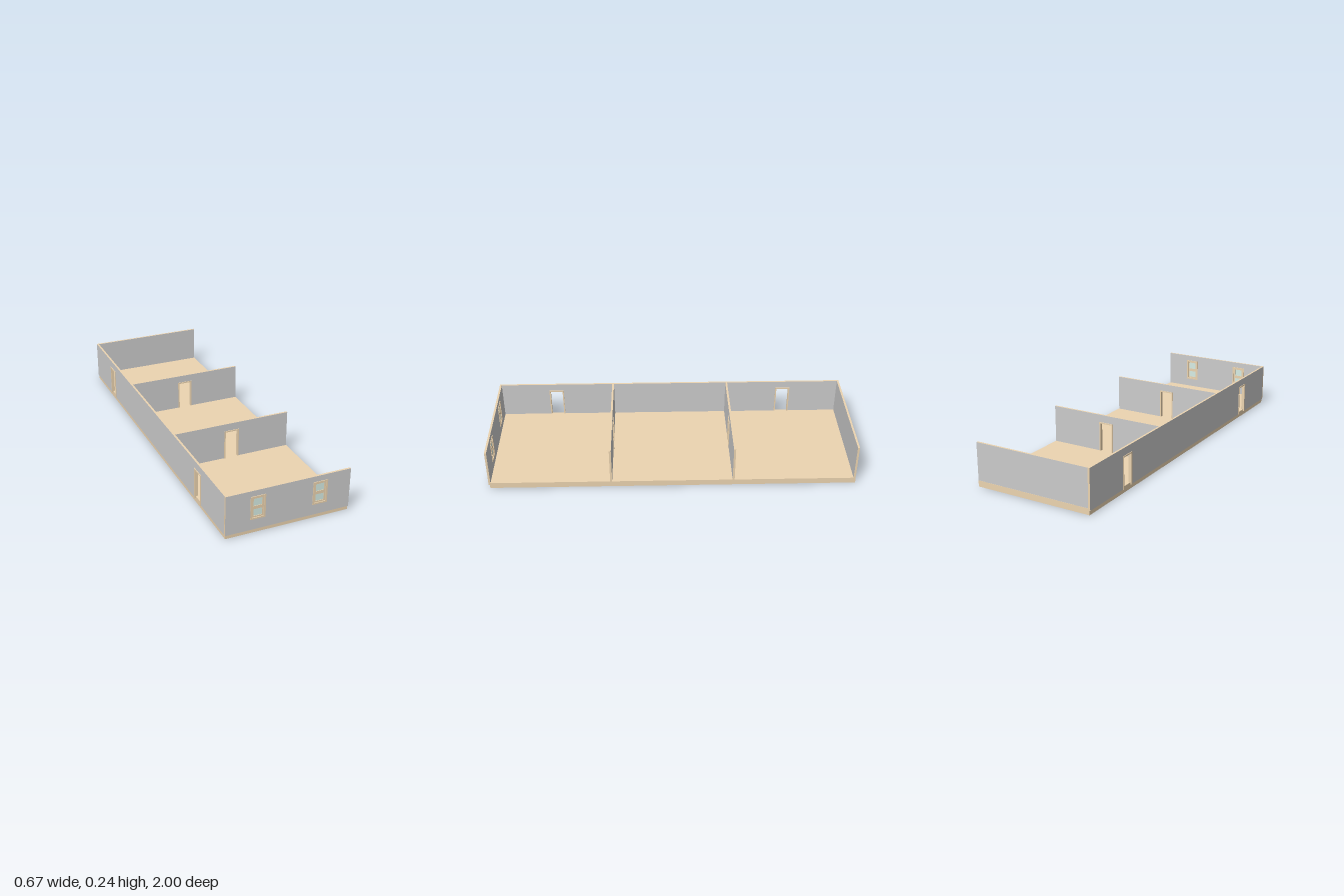
import * as THREE from 'three';

const grey = new THREE.MeshStandardMaterial({ color: 0xcccccc });
const tan = new THREE.MeshStandardMaterial({ color: 0xecd4b0 });
const glass = new THREE.MeshStandardMaterial({ color: 0xd6ede5 });

const FLOOR = 0.033, SILL = 0.022, TOP = 0.237, THICK = 0.011, DOOR_TOP = 0.19;

function rect(Type, x0, x1, y0, y1) {
  const r = new Type();
  r.moveTo(x0, y0);
  r.lineTo(x1, y0);
  r.lineTo(x1, y1);
  r.lineTo(x0, y1);
  r.closePath();
  return r;
}

// Upright panel with rectangular holes, centred on its own z = 0
function panel(name, outline, holes, depth, material) {
  const shape = rect(THREE.Shape, ...outline);
  holes.forEach(h => shape.holes.push(rect(THREE.Path, ...h)));
  const geo = new THREE.ExtrudeGeometry(shape, { depth, bevelEnabled: false });
  geo.translate(0, 0, -depth / 2);
  const mesh = new THREE.Mesh(geo, material);
  mesh.name = name;
  return mesh;
}

// Wall with full-height door gaps, each lined by a three-sided frame
function doorWall(name, x0, x1, bottom, doors) {
  const g = new THREE.Group();
  g.name = name;
  const half = 0.036, trim = 0.006;
  const shape = new THREE.Shape();
  shape.moveTo(x0, bottom);
  doors.forEach(c => {
    shape.lineTo(c - half, bottom);
    shape.lineTo(c - half, DOOR_TOP);
    shape.lineTo(c + half, DOOR_TOP);
    shape.lineTo(c + half, bottom);
  });
  shape.lineTo(x1, bottom);
  shape.lineTo(x1, TOP);
  shape.lineTo(x0, TOP);
  shape.closePath();
  const geo = new THREE.ExtrudeGeometry(shape, { depth: THICK, bevelEnabled: false });
  geo.translate(0, 0, -THICK / 2);
  const wall = new THREE.Mesh(geo, [grey, tan]);
  wall.name = name + 'Panel';
  g.add(wall);

  doors.forEach(c => {
    const o = half + trim, i = half - 0.001;
    const f = new THREE.Shape([
      [c - o, bottom], [c - i, bottom], [c - i, DOOR_TOP - 0.001], [c + i, DOOR_TOP - 0.001],
      [c + i, bottom], [c + o, bottom], [c + o, DOOR_TOP + trim], [c - o, DOOR_TOP + trim],
    ].map(p => new THREE.Vector2(...p)));
    const d = THICK + 0.007;
    const frame = new THREE.Mesh(new THREE.ExtrudeGeometry(f, { depth: d, bevelEnabled: false }), tan);
    frame.position.z = -d / 2;
    frame.name = 'doorFrame';
    g.add(frame);
  });
  return g;
}

// Two-pane sash window with a raised outer frame
function makeWindow(cx) {
  const g = new THREE.Group();
  g.name = 'window';
  const [y0, y1, w] = [0.08, 0.206, 0.0395];
  g.add(panel('windowFrame', [-w, w, y0, y1],
    [[-w + 0.009, w - 0.009, y0 + 0.008, y1 - 0.007]], THICK + 0.007, tan));
  g.add(panel('windowSash', [-w + 0.009, w - 0.009, y0 + 0.008, y1 - 0.007],
    [[-0.023, 0.023, 0.096, 0.134], [-0.023, 0.023, 0.151, 0.191]], 0.009, tan));
  for (const y of [0.115, 0.171]) {
    const pane = new THREE.Mesh(new THREE.BoxGeometry(0.048, 0.042, 0.003), glass);
    pane.position.y = y;
    pane.name = 'windowPane';
    g.add(pane);
  }
  g.position.x = cx;
  return g;
}

export function createModel() {
  const model = new THREE.Group();
  model.name = 'openHouse';

  // Floor slab
  const floor = new THREE.Mesh(new THREE.BoxGeometry(0.664, FLOOR, 1.99), tan);
  floor.position.set(0.002, FLOOR / 2, -0.005);
  floor.name = 'floorSlab';
  model.add(floor);

  // Front wall with two windows
  const front = new THREE.Group();
  front.name = 'frontWall';
  const centres = [-0.164, 0.169];
  front.add(panel('frontWallPanel', [-0.333, 0.335, SILL, TOP],
    centres.map(c => [c - 0.038, c + 0.038, 0.082, 0.204]), THICK, [grey, tan]));
  centres.forEach(c => front.add(makeWindow(c)));
  front.position.z = 0.991;
  model.add(front);

  // Plain back wall standing on the slab
  const back = panel('backWall', [-0.323, 0.334, FLOOR, TOP], [], THICK, [grey, tan]);
  back.position.z = -0.9935;
  model.add(back);

  // Long side wall with two outside doors
  const side = doorWall('sideWall', -0.999, 0.986, SILL, [-0.668, 0.668]);
  side.rotation.y = -Math.PI / 2;
  side.position.x = -0.328;
  model.add(side);

  // Partitions dividing the three rooms
  for (const z of [-0.333, 0.333]) {
    const wall = doorWall('partition', -0.323, 0.333, FLOOR, [0]);
    wall.position.z = z;
    model.add(wall);
  }
  return model;
}
